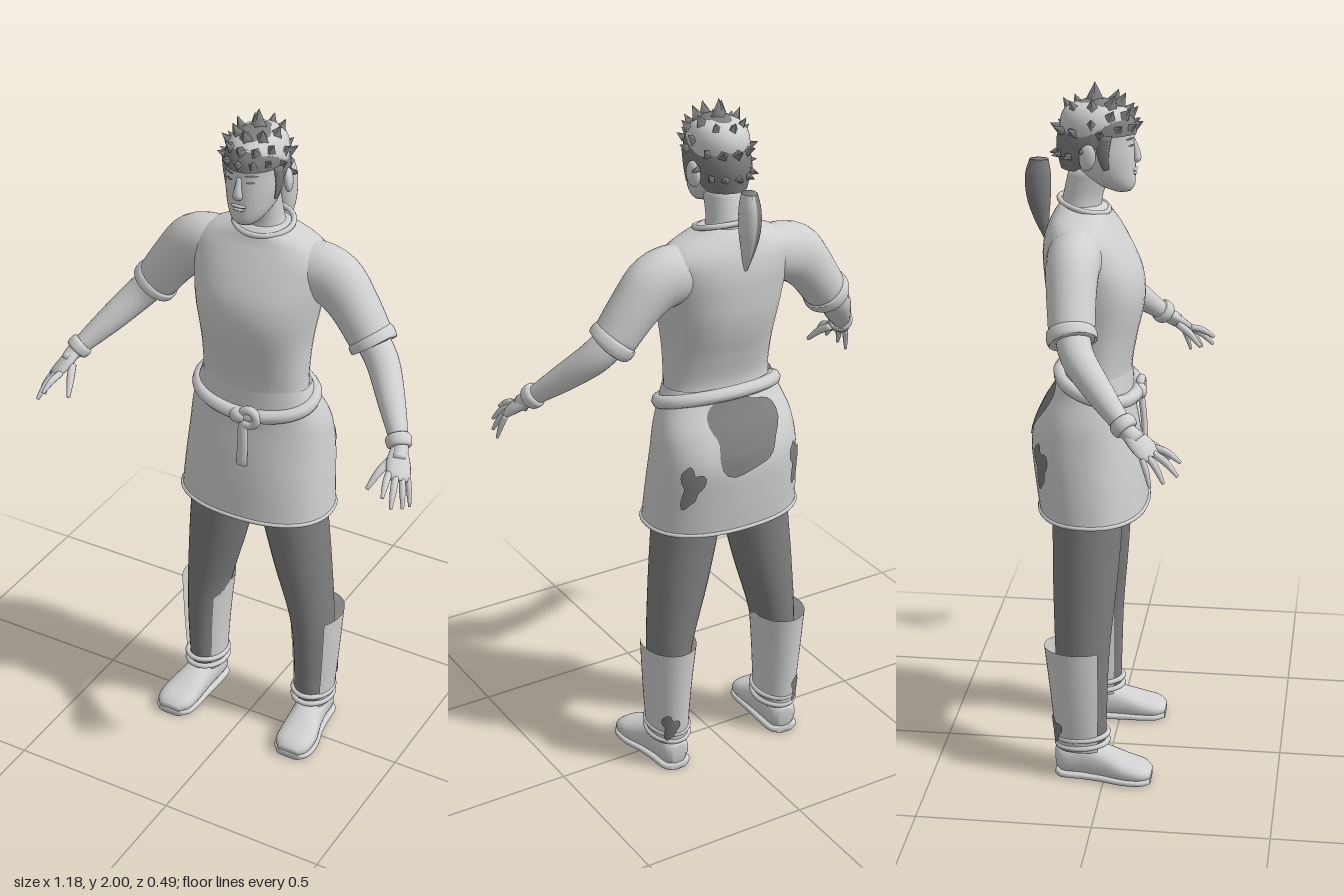
import * as THREE from 'three';

const V = (x, y, z) => new THREE.Vector3(x, y, z);
const light = new THREE.MeshStandardMaterial({ name: 'light grey', color: 0xd0d0d0, side: THREE.DoubleSide });
const dark = new THREE.MeshStandardMaterial({ name: 'dark grey', color: 0x7e7e7e, side: THREE.DoubleSide });

// Smooth sweep through [x, y, z, radiusU, radiusV]; flat keeps the rings horizontal
function tube(pts, { ref = [1, 0, 0], flat = false, arc = null, n = 28, cap = true, sq = 1 } = {}) {
  const curve = (list) => new THREE.CatmullRomCurve3(list, false, 'catmullrom', 0.5);
  const path = curve(pts.map((p) => V(p[0], p[1], p[2])));
  const radii = curve(pts.map((p) => V(p[3], p[4] ?? p[3], 0)));
  const up = Math.sign(pts[pts.length - 1][1] - pts[0][1]);
  const pw = (x) => Math.sign(x) * Math.abs(x) ** sq;
  const at = (s, a, off = 0) => {
    const c = path.getPoint(s), r = radii.getPoint(s);
    const t = flat ? V(0, up, 0) : path.getTangent(s);
    const u = V(...ref);
    u.addScaledVector(t, -u.dot(t)).normalize();
    const v = t.clone().cross(u);
    return c.addScaledVector(u, pw(Math.cos(a)) * (r.x + off)).addScaledVector(v, pw(Math.sin(a)) * (r.y + off));
  };
  const rows = (pts.length - 1) * 4, cols = arc ? n + 1 : n;
  const [a0, a1] = arc ?? [0, Math.PI * 2];
  const pos = [], idx = [];
  for (let i = 0; i <= rows; i++)
    for (let j = 0; j < cols; j++) pos.push(...at(i / rows, a0 + (a1 - a0) * j / n).toArray());
  for (let i = 0; i < rows; i++)
    for (let j = 0; j < n; j++) {
      const k = (j + 1) % cols, a = i * cols + j, b = i * cols + k;
      idx.push(a, b, b + cols, a, b + cols, a + cols);
    }
  if (cap && !arc) {
    const m = pos.length / 3, e = rows * cols;
    pos.push(...path.getPoint(0).toArray(), ...path.getPoint(1).toArray());
    for (let j = 0; j < n; j++) {
      const k = (j + 1) % n;
      idx.push(m, k, j, m + 1, e + j, e + k);
    }
  }
  const g = new THREE.BufferGeometry();
  g.setAttribute('position', new THREE.Float32BufferAttribute(pos, 3));
  g.setIndex(idx);
  g.computeVertexNormals();
  g.at = at;
  return g;
}

// Thin blob lying on a swept surface
function patch(surface, s0, a0, ds, da, wobble = 0, off = 0.004) {
  const g = new THREE.RingGeometry(0.001, 1, 36, 5), p = g.attributes.position;
  for (let i = 0; i < p.count; i++) {
    const x = p.getX(i), y = p.getY(i), a = Math.atan2(y, x);
    const k = 1 + wobble * (Math.sin(3 * a + 1) + 0.6 * Math.sin(5 * a));
    const q = surface.at(THREE.MathUtils.clamp(s0 + y * k * ds, 0, 1), a0 + x * k * da, off);
    p.setXYZ(i, q.x, q.y, q.z);
  }
  g.computeVertexNormals();
  return g;
}

// Horizontal ring given by height, half width, front z and back z
const ring = (y, rx, zf, zb, cx = 0) => [cx, y, (zf + zb) / 2, rx, (zf - zb) / 2];

export function createModel() {
  const model = new THREE.Group();
  model.name = 'standingFigure';
  const add = (name, geo, mat, parent = model) => {
    const m = new THREE.Mesh(geo, mat);
    m.name = name;
    parent.add(m);
    return m;
  };
  const ball = (name, x, y, z, sx, sy, sz, mat) => {
    const m = add(name, new THREE.SphereGeometry(1, 18, 14), mat);
    m.position.set(x, y, z);
    m.scale.set(sx, sy, sz);
    return m;
  };
  const loop = (f, r) => new THREE.TubeGeometry(new THREE.CatmullRomCurve3(
    Array.from({ length: 20 }, (_, i) => f(Math.cos(i * Math.PI / 10), Math.sin(i * Math.PI / 10))), true), 60, r, 8, true);

  // Shirt
  add('shirtBody', tube([
    ring(1.17, .162, .052, -.13), ring(1.22, .16, .055, -.128), ring(1.3, .162, .07, -.15),
    ring(1.36, .168, .084, -.17), ring(1.42, .178, .09, -.184), ring(1.48, .188, .08, -.19),
    ring(1.54, .198, .052, -.192), ring(1.59, .2, .022, -.185), ring(1.625, .165, 0, -.172),
    ring(1.65, .105, -.012, -.158), ring(1.665, .07, -.03, -.145)], { flat: true, n: 40, sq: 0.9 }), light);
  add('collar', loop((c, s) => V(c * .085, 1.664 - s * .018, -.08 + s * .068), .008), light);

  // Skirt with worn dark patches at the back
  const skirt = tube([
    ring(1.2, .165, .052, -.135), ring(1.15, .183, .056, -.158), ring(1.08, .207, .062, -.2),
    ring(1, .217, .076, -.228), ring(.9, .226, .09, -.222), ring(.79, .234, .1, -.207)].reverse(),
    { flat: true, n: 48, cap: false, sq: 0.88 });
  add('skirt', skirt, light);
  add('hem', loop((c, s) => { const p = skirt.at(0, Math.atan2(s, c)); return p; }, .006), light);
  add('backPatch', patch(skirt, .64, Math.PI / 2, .28, .5, .14), dark);
  for (const s of [-1, 1]) add('sidePatch', patch(skirt, .3, Math.PI / 2 + s * .82, .12, .17, .25), dark);

  // Belt, knot and hanging end
  add('belt', loop((c, s) => V(c * .178, 1.155 - s * .032, -.04 + s * .108), .02), light);
  const knot = add('beltKnot', new THREE.TorusGeometry(.024, .013, 10, 20), light);
  knot.position.set(.04, 1.122, .075);
  ball('beltKnotCentre', .005, 1.122, .078, .026, .022, .018, light);
  add('beltEnd', tube([[.02, 1.12, .075, .014, .01], [.024, 1.05, .084, .016, .009], [.024, .97, .09, .017, .008]]), light);

  // Neck and head
  add('neck', tube([ring(1.62, .07, -.025, -.15), ring(1.68, .053, -.03, -.14), ring(1.77, .05, 0, -.12)], { flat: true }), light);
  const head = tube([
    ring(1.705, .028, .05, 0), ring(1.72, .044, .06, -.04), ring(1.75, .063, .062, -.09), ring(1.8, .076, .061, -.125),
    ring(1.85, .08, .058, -.14), ring(1.9, .08, .056, -.145), ring(1.935, .062, .03, -.125), ring(1.95, .03, -.01, -.08)],
    { flat: true, n: 36 });
  add('head', head, light);
  add('nose', tube([[0, 1.845, .054, .007], [0, 1.815, .063, .01], [0, 1.795, .066, .014, .011], [0, 1.787, .058, .01, .008]], { n: 12 }), light);
  ball('upperLip', 0, 1.764, .06, .023, .005, .007, light);
  ball('lowerLip', 0, 1.754, .059, .018, .005, .007, light);
  for (const s of [-1, 1]) {
    add('eye', patch(head, .53, -Math.PI / 2 + s * .4, .011, .15, 0, .002), dark);
    add('eyebrow', patch(head, .584, -Math.PI / 2 + s * .42, .009, .22, 0, .003), dark);
    ball('ear', s * .085, 1.81, -.06, .012, .036, .024, light).rotation.set(.15, s * .3, 0);
    add('sideburn', tube([[s * .079, 1.87, -.015, .01, .022], [s * .08, 1.82, -.018, .007, .017], [s * .074, 1.775, -.01, .003, .008]], { n: 10 }), dark);
  }

  // Hair cap: low at the nape, high over the brow
  const hairPoint = (f, az) => {
    const c = Math.cos(az);
    const hem = 1.765 + .1 * THREE.MathUtils.smoothstep(c, -.55, .5);
    const y = hem + (1.957 - hem) * Math.cos(f * Math.PI / 2);
    const r = Math.sin(f * Math.PI / 2) ** 0.85 * (1 - .2 * THREE.MathUtils.clamp((1.84 - y) / .08, 0, 1));
    return V(Math.sin(az) * r * .087, y, -.05 + c * r * .115);
  };
  const cap = new THREE.SphereGeometry(1, 36, 14, 0, Math.PI * 2, 0, Math.PI / 2), cp = cap.attributes.position, uv = cap.attributes.uv;
  for (let i = 0; i < cp.count; i++) {
    const f = Math.acos(THREE.MathUtils.clamp(cp.getY(i), 0, 1)) / (Math.PI / 2);
    const q = hairPoint(f, uv.getX(i) * Math.PI * 2 - Math.PI / 2);
    cp.setXYZ(i, q.x, q.y, q.z);
  }
  cap.computeVertexNormals();
  add('hairCap', cap, dark);
  // Hair spikes
  const spike = new THREE.ConeGeometry(.022, .044, 4);
  const spikes = new THREE.Group();
  spikes.name = 'hairSpikes';
  model.add(spikes);
  for (const [f, count, size] of [[0, 1, 1.15], [.36, 8, .9], [.62, 12, .75], [.86, 14, .6]])
    for (let i = 0; i < count; i++) {
      const p = hairPoint(f, (i / count) * Math.PI * 2);
      const d = p.clone().sub(V(0, 1.85, -.05)).normalize();
      if (count > 1) d.y += .25;
      d.normalize();
      const m = add('hairSpike', spike, dark, spikes);
      m.position.copy(p).addScaledVector(d, .017 * size);
      m.quaternion.setFromUnitVectors(V(0, 1, 0), d);
      m.scale.setScalar(size);
    }
  // Ponytail, one half of each shade
  const tail = [[0, 1.785, -.205, .02, .026], [0, 1.74, -.208, .028, .036], [0, 1.68, -.207, .028, .034], [0, 1.62, -.2, .018, .022], [0, 1.56, -.188, .004, .005]];
  add('ponytailLeft', tube(tail, { flat: true, arc: [-Math.PI / 2, Math.PI / 2], n: 12 }), light);
  add('ponytailRight', tube(tail, { flat: true, arc: [Math.PI / 2, Math.PI * 1.5], n: 12 }), dark);
  add('ponytailTop', tube([[0, 1.75, -.208, .026, .034], [0, 1.785, -.205, .02, .026]], { flat: true, n: 16 }), dark);

  for (const s of [-1, 1]) {
    const side = (pts) => pts.map(([x, ...r]) => [x * s, ...r]);
    const limb = (name, pts, mat, o) => { const g = tube(side(pts), o); add(name, g, mat); return g; };
    const zRef = { ref: [0, 0, 1] };

    // Sleeve, cuff and arm
    limb('sleeve', [[.08, 1.56, -.085, .06], [.15, 1.552, -.085, .075, .08], [.22, 1.533, -.083, .072, .084],
      [.28, 1.475, -.078, .067, .071], [.345, 1.385, -.068, .062, .062]], light, zRef);
    limb('sleeveCuff', [[.333, 1.401, -.07, .062], [.338, 1.395, -.069, .068], [.35, 1.379, -.067, .068], [.353, 1.375, -.066, .06]], light, zRef);
    limb('forearm', [[.325, 1.41, -.07, .046], [.385, 1.345, -.048, .046], [.45, 1.27, .02, .038], [.515, 1.195, .097, .024], [.53, 1.17, .13, .024, .018]], light, zRef);
    limb('wristband', [[.5, 1.213, .08, .031], [.505, 1.207, .086, .036], [.515, 1.196, .097, .034], [.518, 1.192, .101, .027]], light, zRef);

    // Hand: palm across index to little finger, then the digits
    const across = { ref: [.045 * s, -.015, -.035], n: 12 };
    limb('palm', [[.514, 1.195, .097, .02, .016], [.528, 1.17, .128, .033, .017], [.542, 1.147, .156, .035, .014], [.549, 1.135, .172, .026, .009]], light, across);
    for (const [name, a, b, r] of [
      ['indexFinger', [.522, 1.152, .172], [.538, 1.118, .243], .0095],
      ['middleFinger', [.542, 1.143, .172], [.562, 1.088, .238], .0095],
      ['ringFinger', [.556, 1.137, .16], [.58, 1.073, .203], .009],
      ['littleFinger', [.566, 1.134, .145], [.585, 1.062, .168], .008],
      ['thumb', [.505, 1.165, .135], [.475, 1.105, .208], .011]])
      limb(name, [[...a, r], [(a[0] + b[0]) / 2, (a[1] + b[1]) / 2 + .007, (a[2] + b[2]) / 2, r], [...b, r * .5]], light, { ...across, n: 10 });

    // Trouser leg
    limb('trouserLeg', [ring(.1, .05, .002, -.128, .183), ring(.25, .056, .006, -.138, .184), ring(.4, .064, .012, -.146, .176),
      ring(.6, .086, .03, -.155, .142), ring(.8, .1, .042, -.16, .112), ring(.98, .1, .04, -.17, .106)], dark, { flat: true });

    // Gaiter wrapped around the back, open at the front
    const gaiter = limb('gaiter', [ring(.09, .056, .006, -.142, .187), ring(.25, .066, .012, -.158, .189), ring(.41, .077, .016, -.176, .187)],
      light, { flat: true, arc: [-.75, Math.PI + .75] });
    add('gaiterPatch', patch(gaiter, .2, Math.PI / 2 - s * .5, .13, .35, .22), dark);
    for (const y of [.105, .13])
      add('ankleStrap', loop((c, q) => V(s * (.186 + c * .058), y + q * .006, -.066 + q * .074), .008), light);

    // Shoe and sole
    const shoe = [[.187, .05, -.142, .022, .032], [.188, .052, -.12, .042, .046], [.19, .056, -.06, .046, .052], [.196, .047, 0, .05, .045],
      [.204, .036, .06, .058, .033], [.207, .029, .11, .054, .025], [.207, .022, .137, .032, .013]];
    limb('shoe', shoe, light, { sq: 0.85 });
    limb('sole', shoe.map(([x, , z, r]) => [x, .011, z, r + .005, .011]), light, { sq: 0.6 });
  }
  return model;
}
